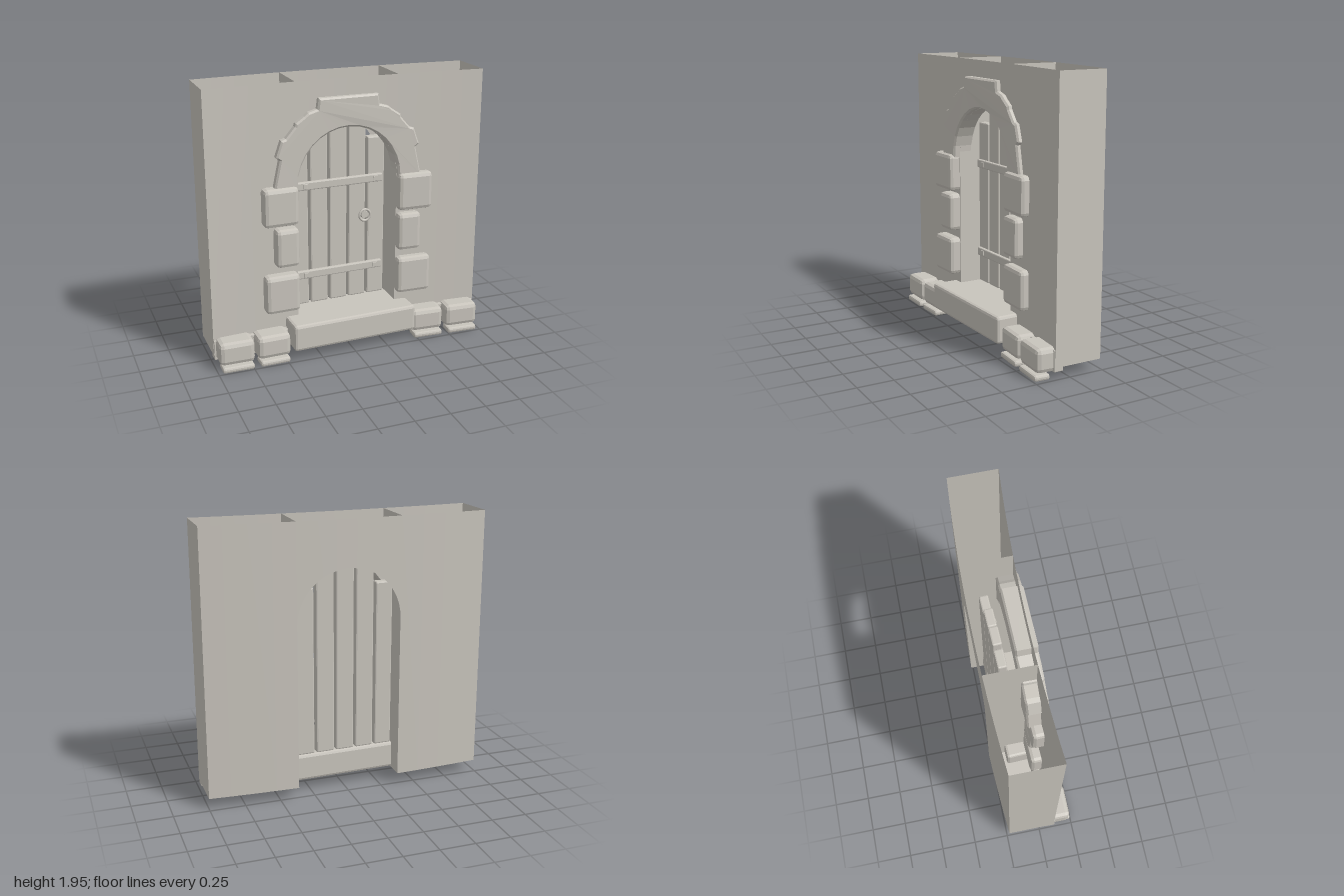
import * as THREE from 'three';
import { RoundedBoxGeometry } from 'three/addons/geometries/RoundedBoxGeometry.js';

export function createModel() {
  const model = new THREE.Group();
  model.name = 'stoneDoorway';
  const stone = new THREE.MeshStandardMaterial({ color: 0xc8c4bc, side: THREE.DoubleSide });
  stone.name = 'paleStone';

  const add = (name, geometry, parent = model) => {
    const mesh = new THREE.Mesh(geometry, stone);
    mesh.name = name;
    parent.add(mesh);
    return mesh;
  };
  const group = (name) => {
    const g = new THREE.Group();
    g.name = name;
    model.add(g);
    return g;
  };
  // Chamfered block given by its limits on each axis
  const block = (name, x0, x1, y0, y1, z0, z1, r, parent) => {
    const geo = new RoundedBoxGeometry(x1 - x0, y1 - y0, z1 - z0, 1, r);
    geo.computeVertexNormals();
    const mesh = add(name, geo, parent);
    mesh.position.set((x0 + x1) / 2, (y0 + y1) / 2, (z0 + z1) / 2);
    return mesh;
  };
  // Sheet of quads between two rows of points
  const sheet = (name, low, high, flip, parent) => {
    const pos = [];
    for (let i = 0; i < low.length - 1; i++) {
      const [a, b, c, d] = [low[i], low[i + 1], high[i + 1], high[i]];
      pos.push(...(flip ? [a, c, b, a, d, c] : [a, b, c, a, c, d]).flat());
    }
    const geo = new THREE.BufferGeometry();
    geo.setAttribute('position', new THREE.Float32BufferAttribute(pos, 3));
    geo.computeVertexNormals();
    return add(name, geo, parent);
  };

  // Gently curved hollow wall, open at the top, with an arched passage
  const bend = (x) => -0.04 * (1 - x * x);
  const frontZ = (x) => 0.11 + bend(x);
  const backZ = (x) => -0.232 + bend(x);
  const base = 0.083, top = 1.95, half = 0.37, spring = 1.25;
  const wall = group('wall');
  const sideXs = [0.37, 0.53, 0.69, 0.85, 1];
  const archXs = Array.from({ length: 25 }, (_, i) => -half * Math.cos((i / 24) * Math.PI));
  const archY = (x) => spring + Math.sqrt(Math.max(0, half * half - x * x));
  const panels = [
    ['leftPanel', sideXs, () => base],
    ['rightPanel', sideXs.map((x) => -x).reverse(), () => base],
    ['overArch', archXs, archY],
  ];
  for (const [name, xs, bottom] of panels) {
    for (const [side, z, flip] of [['Front', frontZ, false], ['Back', backZ, true]]) {
      sheet(name + side, xs.map((x) => [x, bottom(x), z(x)]), xs.map((x) => [x, top, z(x)]), flip, wall);
    }
    if (name !== 'overArch') {
      sheet(name + 'Floor', xs.map((x) => [x, base, backZ(x)]), xs.map((x) => [x, base, frontZ(x)]), false, wall);
    }
  }
  for (const [name, x, flip] of [['leftEnd', 1, false], ['rightEnd', -1, true],
    ['leftJamb', half, true], ['rightJamb', -half, false]]) {
    const row = (y) => [[x, y, frontZ(x)], [x, y, backZ(x)]];
    sheet(name, row(base), row(top), flip, wall);
  }

  // Stepped stone arch following the curve of the wall
  const outer = [[0.53, 1.24], [0.485, 1.44], [0.51, 1.46], [0.475, 1.56], [0.445, 1.57],
    [0.375, 1.65], [0.37, 1.67], [0.31, 1.71], [0.285, 1.73], [0.215, 1.75], [0.205, 1.82]];
  const shape = new THREE.Shape();
  outer.forEach(([x, y], i) => (i ? shape.lineTo(x, y) : shape.moveTo(x, y)));
  [...outer].reverse().forEach(([x, y]) => shape.lineTo(-x, y));
  for (let i = 0; i <= 16; i++) {
    const a = Math.PI * (1 - i / 16);
    shape.lineTo(0.385 * Math.cos(a), 1.24 + 0.395 * Math.sin(a));
  }
  const archGeo = new THREE.ExtrudeGeometry(shape, {
    depth: 0.126, bevelEnabled: true, bevelThickness: 0.012, bevelSize: 0.012, bevelSegments: 1,
  });
  const p = archGeo.attributes.position;
  for (let i = 0; i < p.count; i++) {
    p.setZ(i, p.getZ(i) + 0.018 + bend(p.getX(i)) * 1.1 - 0.02 * p.getX(i));
  }
  archGeo.computeVertexNormals();
  add('arch', archGeo);

  // Stones up both sides of the doorway
  const quoins = group('sideStones');
  for (const [w, y0, y1] of [[0.625, 0.345, 0.62], [0.543, 0.68, 0.955], [0.625, 0.98, 1.25]]) {
    block('leftSideStone', 0.37, w, y0, y1, -0.01, 0.145, 0.028, quoins).rotation.y = -0.03;
    block('rightSideStone', -w, -0.377, y0, y1, 0, 0.162, 0.028, quoins).rotation.y = 0.03;
  }

  // Foundation stones with thin feet, joined by a mortar strip
  const footing = group('footing');
  for (const [x0, x1, z1, turn] of [[-0.985, -0.735, 0.235, 0], [-0.715, -0.475, 0.23, 0.03],
    [0.465, 0.71, 0.212, -0.06], [0.735, 0.985, 0.228, -0.06]]) {
    block('footingStone', x0, x1, 0.05, 0.215, 0.03, z1, 0.032, footing).rotation.y = turn;
    block('footingFoot', x0 + 0.015, x1 - 0.01, 0.002, 0.042, z1 - 0.1, z1 + 0.012, 0.014, footing).rotation.y = turn;
  }
  block('leftMortar', 0.45, 0.998, 0.053, 0.2, 0.05, 0.118, 0.005, footing);
  block('rightMortar', -0.998, -0.45, 0.053, 0.2, 0.05, 0.118, 0.005, footing);

  // Door and sill, turned slightly
  const door = group('door');
  door.rotation.y = 0.033;
  block('sill', -0.467, 0.462, 0.085, 0.277, -0.155, 0.25, 0.02, door);
  for (const [x0, x1, y1] of [[-0.357, -0.232, 1.48], [-0.216, -0.084, 1.595], [-0.069, 0.063, 1.63],
    [0.077, 0.208, 1.595], [0.224, 0.356, 1.48]]) {
    block('plank', x0, x1, 0.28, y1, -0.152, -0.088, 0.01, door);
  }
  for (const y of [0.515, 1.18]) {
    block('strap', -0.337, 0.33, y - 0.03, y + 0.03, -0.092, -0.06, 0.008, door);
    for (const x of [-0.262, 0.275]) {
      block('bolt', x - 0.018, x + 0.018, y - 0.018, y + 0.018, -0.064, -0.054, 0.003, door);
    }
  }

  // Ring handle on a round plate
  const plate = add('handlePlate', new THREE.CylinderGeometry(0.026, 0.03, 0.02, 16), door);
  plate.rotation.x = Math.PI / 2;
  plate.position.set(0.197, 0.91, -0.08);
  add('handleRing', new THREE.TorusGeometry(0.042, 0.009, 8, 24), door).position.set(0.197, 0.907, -0.07);

  return model;
}
